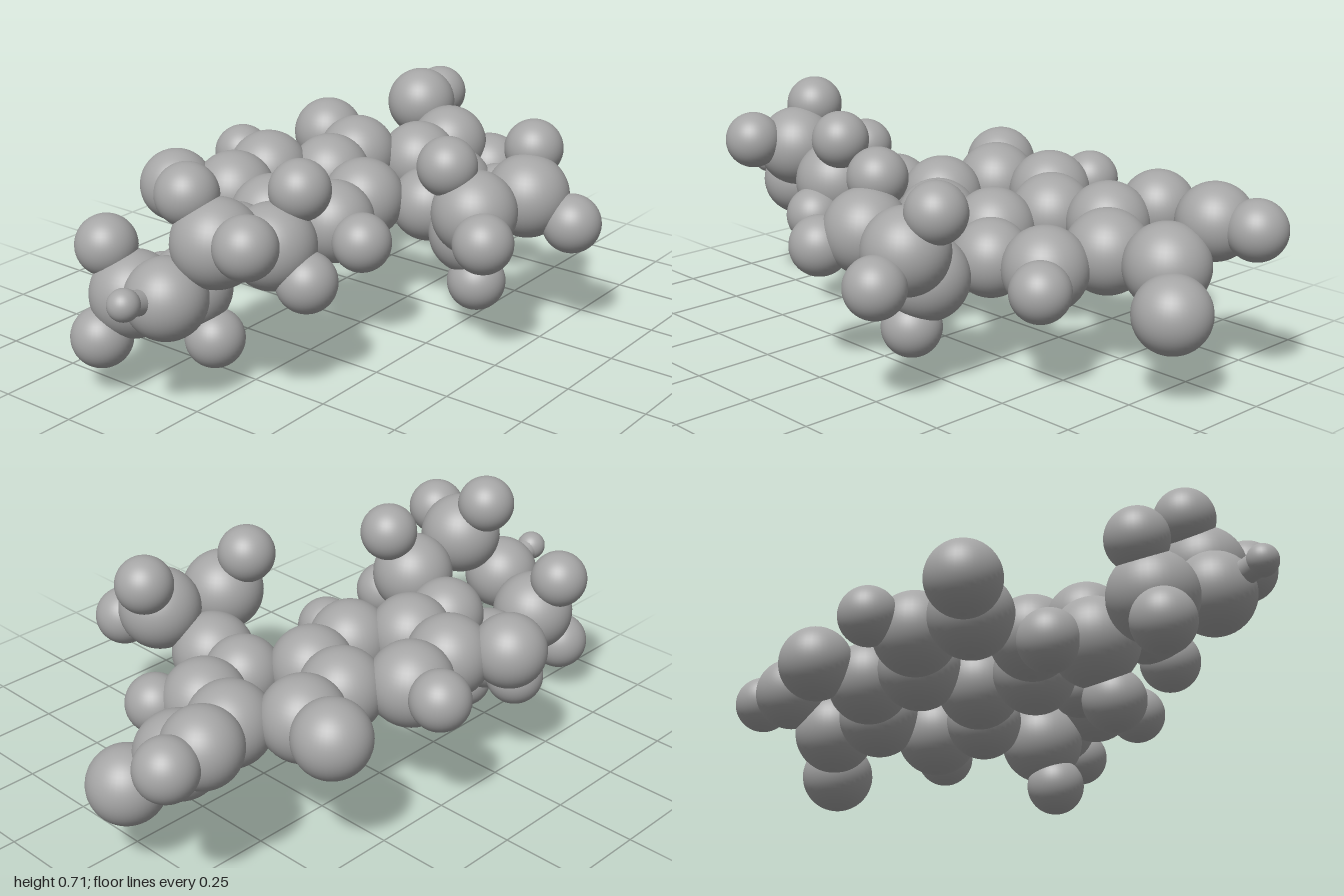
import * as THREE from 'three';

// Sphere radius of each kind of atom
const RADII = { carbon: 0.128, nitrogen: 0.118, oxygen: 0.115, fluorine: 0.113, hydrogen: 0.09 };

// Atom centres [x, y, z], grouped by part of the molecule
const PARTS = {
  fusedRings: {
    carbon: [
      [-0.205, 0.38, -0.18], [-0.155, 0.4, -0.375], [0.05, 0.405, -0.41], [0.19, 0.385, -0.27],
      [0.125, 0.36, -0.085], [-0.08, 0.355, -0.045], [0.385, 0.39, -0.31], [0.52, 0.365, -0.155],
      [0.45, 0.335, 0.03],
    ],
    nitrogen: [[0.265, 0.335, 0.065]],
    oxygen: [[0.44, 0.42, -0.475]],
    fluorine: [[-0.27, 0.425, -0.51]],
    hydrogen: [[0.09, 0.425, -0.555], [-0.125, 0.335, 0.1], [0.54, 0.315, 0.145]],
  },
  acidGroup: {
    carbon: [[0.725, 0.365, -0.175]],
    oxygen: [[0.77, 0.475, -0.325], [0.83, 0.272, -0.075]],
    hydrogen: [[0.905, 0.475, -0.34]],
  },
  threeRing: {
    carbon: [[0.205, 0.305, 0.265], [0.065, 0.435, 0.37], [0.285, 0.435, 0.415]],
    hydrogen: [
      [0.185, 0.16, 0.305], [0.03, 0.572, 0.295], [-0.03, 0.39, 0.465],
      [0.37, 0.555, 0.38], [0.315, 0.368, 0.555],
    ],
  },
  sixRing: {
    nitrogen: [[-0.4, 0.365, -0.155], [-0.79, 0.345, -0.06]],
    carbon: [[-0.465, 0.42, 0.045], [-0.51, 0.235, -0.24], [-0.73, 0.29, -0.245], [-0.68, 0.495, 0.03]],
    hydrogen: [
      [-0.39, 0.575, 0.085], [-0.445, 0.33, 0.15], [-0.5, 0.092, -0.155], [-0.475, 0.205, -0.38],
      [-0.75, 0.425, -0.325], [-0.81, 0.17, -0.3], [-0.695, 0.62, -0.058], [-0.725, 0.53, 0.175],
    ],
  },
};

export function createModel() {
  const model = new THREE.Group();
  model.name = 'molecule';
  const grey = new THREE.MeshStandardMaterial({ color: 0xa6a6a6 });
  grey.name = 'grey';

  // One shared sphere per kind of atom
  const spheres = {};
  for (const kind in RADII) spheres[kind] = new THREE.SphereGeometry(RADII[kind], 40, 26);

  const add = (parent, name, geometry, position) => {
    const mesh = new THREE.Mesh(geometry, grey);
    mesh.name = name;
    mesh.position.set(...position);
    parent.add(mesh);
    return mesh;
  };

  for (const part in PARTS) {
    const group = new THREE.Group();
    group.name = part;
    for (const kind in PARTS[part]) {
      PARTS[part][kind].forEach((p, i) => add(group, `${kind}${i + 1}`, spheres[kind], p));
    }
    model.add(group);
  }

  // Small knob on a short neck at the far end of the six-ring
  const start = new THREE.Vector3(-0.79, 0.345, -0.06);
  const end = new THREE.Vector3(-0.954, 0.385, -0.055);
  const direction = end.clone().sub(start);
  const ring = model.getObjectByName('sixRing');
  add(ring, 'knob', new THREE.SphereGeometry(0.046, 32, 20), end.toArray());
  const neck = add(ring, 'neck', new THREE.CylinderGeometry(0.036, 0.036, direction.length(), 24),
    start.clone().add(end).multiplyScalar(0.5).toArray());
  neck.quaternion.setFromUnitVectors(new THREE.Vector3(0, 1, 0), direction.normalize());

  return model;
}
